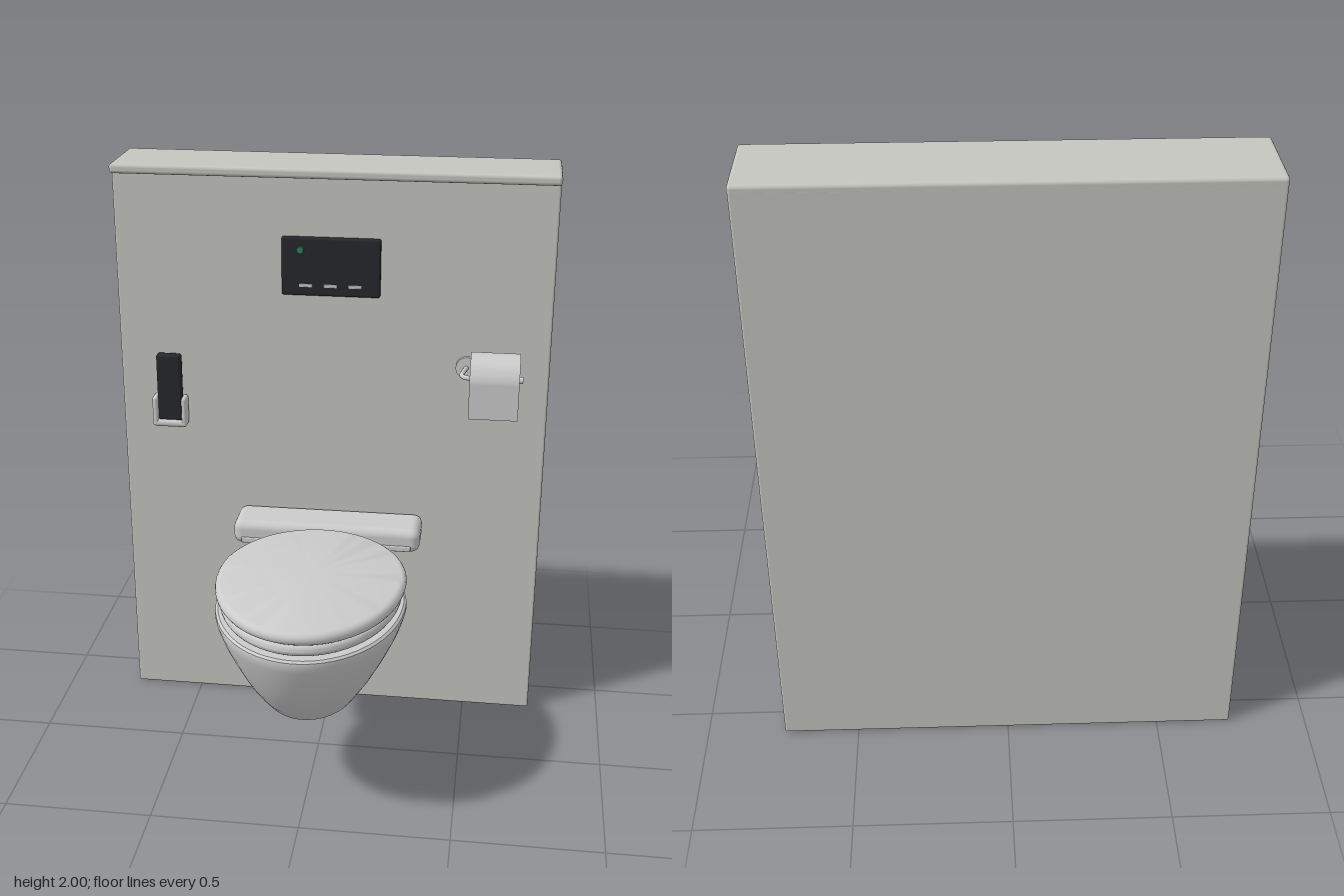
import * as THREE from 'three';
import { RoundedBoxGeometry } from 'three/addons/geometries/RoundedBoxGeometry.js';
import { toCreasedNormals } from 'three/addons/utils/BufferGeometryUtils.js';

const mat = (color, side = THREE.FrontSide) => new THREE.MeshStandardMaterial({ color, side });

// Egg-shaped loft. Each ring is [y, half width, front z, back z], bottom to top.
function eggLoft(rings, widest = 0.17, n = 64) {
  const pos = [], idx = [];
  for (const [y, w, front, back] of rings) {
    for (let i = 0; i < n; i++) {
      const a = (i / n) * Math.PI * 2, s = Math.sin(a);
      pos.push(w * Math.cos(a), y, widest + s * (s > 0 ? front - widest : widest - back));
    }
  }
  for (let r = 0; r < rings.length - 1; r++) {
    for (let i = 0; i < n; i++) {
      const j = (i + 1) % n, a = r * n + i, b = r * n + j;
      idx.push(a, a + n, b, b, a + n, b + n);
    }
  }
  // End caps
  const last = rings.length - 1, c = pos.length / 3;
  pos.push(0, rings[0][0], widest, 0, rings[last][0], widest);
  for (let i = 0; i < n; i++) {
    const j = (i + 1) % n;
    idx.push(c, i, j, c + 1, last * n + j, last * n + i);
  }
  const g = new THREE.BufferGeometry();
  g.setAttribute('position', new THREE.Float32BufferAttribute(pos, 3));
  g.setIndex(idx);
  return toCreasedNormals(g, 0.7);
}

// Egg-shaped slab with a rounded edge
function eggSlab(y0, y1, w, front, back) {
  const r = (y1 - y0) / 2, rings = [];
  for (let i = 0; i <= 8; i++) {
    const a = -Math.PI / 2 + (i / 8) * Math.PI, inset = r * (1 - Math.cos(a));
    rings.push([(y0 + y1) / 2 + r * Math.sin(a), w - inset, front - inset, back + inset]);
  }
  return eggLoft(rings);
}

export function createModel() {
  const model = new THREE.Group();
  const grey = mat(0xcccccc), stone = mat(0xc6c6c0), black = mat(0x26282b);
  const add = (name, geometry, material, x = 0, y = 0, z = 0) => {
    const m = new THREE.Mesh(geometry, material);
    m.name = name;
    m.position.set(x, y, z);
    model.add(m);
    return m;
  };
  // Rounded box given by its extents
  const box = (name, material, x0, x1, y0, y1, z0, z1, r) =>
    add(name, new RoundedBoxGeometry(x1 - x0, y1 - y0, z1 - z0, 3, r), material,
      (x0 + x1) / 2, (y0 + y1) / 2, (z0 + z1) / 2);

  // Wall and its top ledge
  box('wall', stone, -0.745, 0.745, 0, 1.985, -0.595, -0.345, 0.008);
  box('ledge', stone, -0.747, 0.747, 1.967, 2, -0.595, -0.315, 0.012);

  // Flush panel with indicator and buttons
  box('flushPanel', black, -0.17, 0.165, 1.57, 1.77, -0.35, -0.326, 0.008);
  const led = add('indicator', new THREE.CylinderGeometry(0.012, 0.012, 0.016, 24), mat(0x2f7d5b), -0.105, 1.73, -0.321);
  led.rotation.x = Math.PI / 2;
  for (const x of [-0.087, -0.003, 0.08])
    box('panelButton', grey, x - 0.023, x + 0.023, 1.6, 1.612, -0.33, -0.322, 0.003);

  // Remote control in a U-shaped cradle
  box('remote', black, -0.612, -0.525, 1.1, 1.345, -0.335, -0.302, 0.01);
  box('cradleBack', grey, -0.628, -0.511, 1.082, 1.188, -0.347, -0.33, 0.007);
  box('cradleBase', grey, -0.628, -0.511, 1.08, 1.106, -0.345, -0.292, 0.012);
  for (const [a, b] of [[-0.63, -0.61], [-0.527, -0.509]])
    box('cradleSide', grey, a, b, 1.082, 1.19, -0.345, -0.292, 0.009);

  // Paper roll, hollow, lying along x
  const ring = new THREE.Shape().absarc(0, 0, 0.088, 0, Math.PI * 2);
  ring.holes.push(new THREE.Path().absarc(0, 0, 0.03, 0, Math.PI * 2, true));
  const rollGeo = toCreasedNormals(
    new THREE.ExtrudeGeometry(ring, { depth: 0.164, bevelEnabled: false, curveSegments: 32 }), 0.6);
  add('paperRoll', rollGeo, grey, 0.481, 1.335, -0.232).rotation.y = Math.PI / 2;
  const core = add('rollCore', new THREE.CylinderGeometry(0.031, 0.031, 0.16, 24), black, 0.563, 1.335, -0.232);
  core.rotation.z = Math.PI / 2;
  add('paperSheet', new THREE.PlaneGeometry(0.164, 0.113), mat(0xcccccc, THREE.DoubleSide), 0.563, 1.279, -0.143);

  // Roll holder: wall disc and bent rod
  const disc = add('holderDisc', new THREE.CylinderGeometry(0.038, 0.038, 0.016, 32), grey, 0.465, 1.335, -0.339);
  disc.rotation.x = Math.PI / 2;
  const bend = new THREE.CatmullRomCurve3([[0.465, -0.34], [0.455, -0.29], [0.453, -0.25], [0.475, -0.232], [0.56, -0.232], [0.655, -0.232]]
    .map(([x, z]) => new THREE.Vector3(x, 1.335, z)));
  add('holderRod', new THREE.TubeGeometry(bend, 48, 0.008, 12), grey);
  const knob = add('rodEnd', new THREE.CylinderGeometry(0.012, 0.012, 0.012, 20), grey, 0.651, 1.335, -0.232);
  knob.rotation.z = Math.PI / 2;

  // Wall-hung bowl
  add('bowl', eggLoft([
    [0.355, 0.16, 0.4, 0.015], [0.4, 0.188, 0.447, -0.03], [0.45, 0.219, 0.488, -0.065],
    [0.5, 0.246, 0.52, -0.095], [0.55, 0.271, 0.547, -0.12], [0.6, 0.294, 0.57, -0.14],
    [0.64, 0.308, 0.586, -0.15], [0.665, 0.315, 0.594, -0.155], [0.678, 0.314, 0.593, -0.155],
    [0.685, 0.306, 0.586, -0.148],
  ]), grey);

  // Mount joining the bowl to the wall, drawn from the side and extruded across
  const side = new THREE.Shape();
  side.moveTo(0.335, 0.44);
  side.lineTo(0.03, 0.44);
  side.quadraticCurveTo(0.0, 0.44, 0.012, 0.47);
  side.lineTo(0.08, 0.63);
  side.quadraticCurveTo(0.095, 0.665, 0.13, 0.665);
  side.lineTo(0.335, 0.665);
  const mountGeo = new THREE.ExtrudeGeometry(side, {
    depth: 0.386, bevelSize: 0.016, bevelThickness: 0.016, bevelSegments: 4, curveSegments: 8,
  });
  mountGeo.translate(0, 0, -0.193);
  add('mount', toCreasedNormals(mountGeo, 0.7), grey).rotation.y = Math.PI / 2;

  // Seat, lid, hinge and rear housing
  add('seat', eggSlab(0.69, 0.733, 0.3, 0.58, -0.16), grey);
  add('lid', eggSlab(0.733, 0.777, 0.313, 0.59, -0.178), grey);
  box('hinge', grey, -0.16, 0.16, 0.695, 0.735, -0.2, -0.1, 0.012);
  box('rearHousing', grey, -0.33, 0.33, 0.69, 0.777, -0.35, -0.183, 0.03);
  box('housingPlate', grey, -0.3, 0.3, 0.7, 0.72, -0.2, -0.177, 0.004);

  return model;
}
